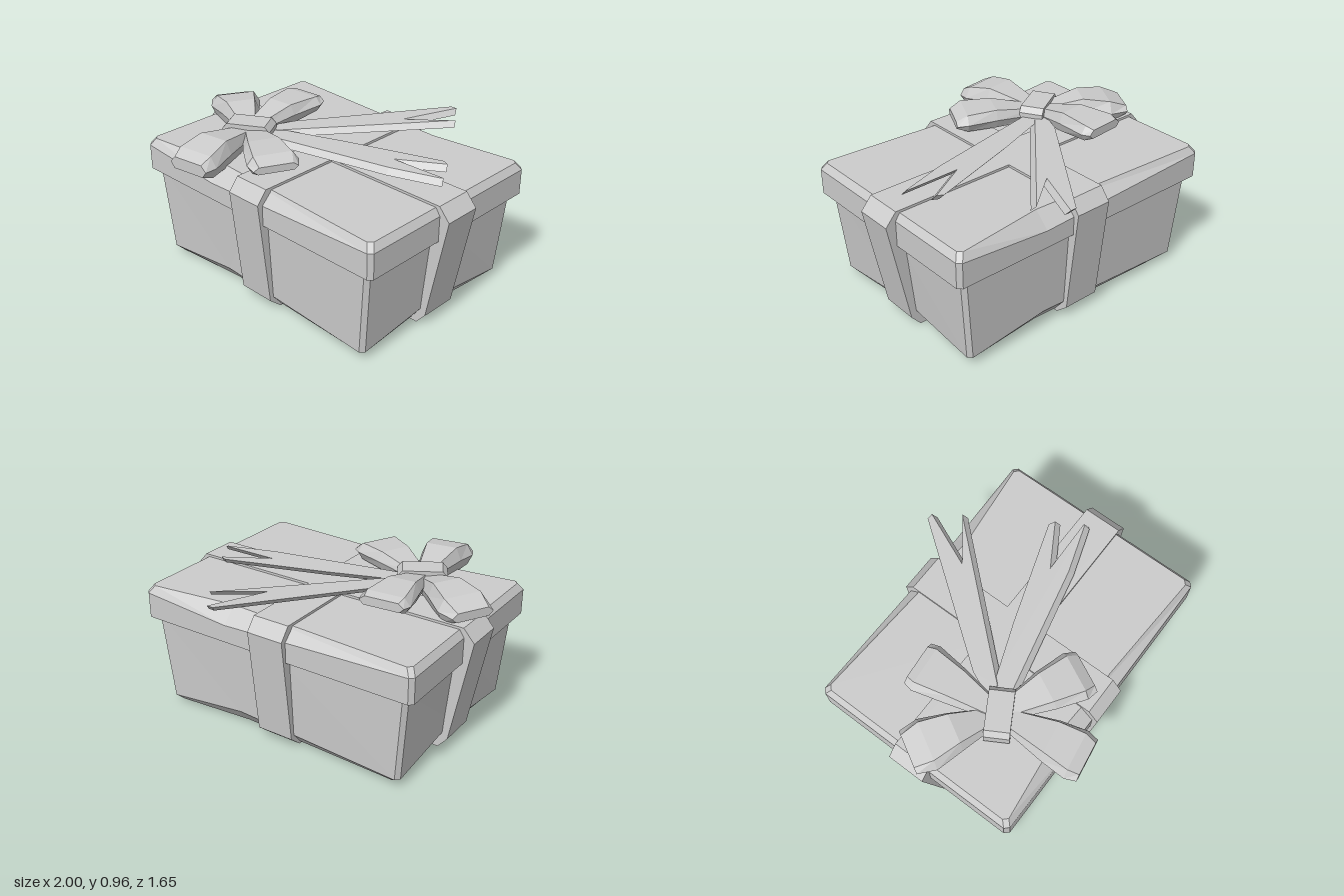
import * as THREE from 'three';

const material = new THREE.MeshStandardMaterial({ color: 0xcccccc, flatShading: true, side: THREE.DoubleSide });

function add(parent, name, geometry) {
  const mesh = new THREE.Mesh(geometry, material);
  mesh.name = name;
  parent.add(mesh);
  return mesh;
}

// Skin through rings of [x, y, z] points, closed with a fan at both ends
function loft(rings) {
  const pos = [];
  const n = rings[0].length;
  const tri = (a, b, c) => pos.push(...a, ...b, ...c);
  for (let k = 0; k < rings.length - 1; k++) {
    for (let i = 0; i < n; i++) {
      const j = (i + 1) % n;
      tri(rings[k][i], rings[k][j], rings[k + 1][i]);
      tri(rings[k][j], rings[k + 1][j], rings[k + 1][i]);
    }
  }
  const mean = (r) => [0, 1, 2].map((a) => r.reduce((s, p) => s + p[a], 0) / n);
  const first = rings[0], last = rings[rings.length - 1];
  for (let i = 0; i < n; i++) {
    const j = (i + 1) % n;
    tri(first[j], first[i], mean(first));
    tri(last[i], last[j], mean(last));
  }
  const g = new THREE.BufferGeometry();
  g.setAttribute('position', new THREE.Float32BufferAttribute(pos, 3));
  g.computeVertexNormals();
  return g;
}

// Rectangle with clipped corners; the mid points of its sides may be moved
function boxRing(hx, hz, y, { c = 0.025, mx = 0, dx = 0, dz = 0, dyx = 0, dyz = 0 } = {}) {
  const half = [
    [hx, y, hz - c], [hx - dx, y + dyx, 0], [hx, y, -hz + c],
    [hx - c, y, -hz], [-mx, y + dyz, -hz + dz], [-hx + c, y, -hz],
  ];
  return [...half, ...half.map(([x, yy, z]) => [-x, yy, -z])];
}

// Solid band that wraps the box, with cut corners
function ribbon(shoulder, top, low, bottom) {
  const right = [[bottom, 0], [low, 0.07], [shoulder, 0.74], [top, 0.82]];
  const left = right.map(([x, y]) => [-x, y]).reverse();
  const shape = new THREE.Shape([...right, ...left].map(([x, y]) => new THREE.Vector2(x, y)));
  return new THREE.ExtrudeGeometry(shape, { depth: 0.24, bevelEnabled: false }).translate(0, 0, -0.12);
}

// Puffy bow loop; sections are [distance, half width, bottom, top]
function bowLoop(cx, cz, dirX, dirZ, sections) {
  const len = Math.hypot(dirX, dirZ);
  const ux = dirX / len, uz = dirZ / len;
  return loft(sections.map(([d, w, lo, hi]) => {
    const mid = (lo + hi) / 2;
    return [[w, mid], [w * 0.75, hi], [-w * 0.75, hi], [-w, mid], [-w * 0.8, lo], [w * 0.8, lo]]
      .map(([r, y]) => [cx + ux * d + uz * r, y, cz + uz * d - ux * r]);
  }));
}

// Ribbon end with a notched tip; its lower face is shifted so the side slopes
function tail(outline, rise) {
  const shape = new THREE.Shape(outline.map(([x, z]) => new THREE.Vector2(x, -z)));
  const g = new THREE.ExtrudeGeometry(shape, { depth: 0.035, bevelEnabled: false });
  g.rotateX(-Math.PI / 2);
  const p = g.attributes.position;
  for (let i = 0; i < p.count; i++) {
    const x = p.getX(i), y = p.getY(i), z = p.getZ(i);
    const under = y < 0.01 ? 1 : 0;
    const d = Math.hypot(x + 0.45, z - 0.25);
    p.setXYZ(i, x + 0.015 * under, 0.835 + y + rise * d, z + 0.03 * under);
  }
  g.computeVertexNormals();
  return g;
}

export function createModel() {
  const group = new THREE.Group();

  // Tapered body with an uneven lower bevel
  add(group, 'boxBody', loft([
    boxRing(0.8, 0.58, 0.015, { mx: -0.28, dx: 0.04, dz: 0.04 }),
    boxRing(0.835, 0.615, 0.05, { mx: -0.28, dyx: 0.07, dyz: 0.06 }),
    boxRing(0.885, 0.64, 0.62),
  ]));

  // Lid whose front and back bevels dip near the middle
  add(group, 'lid', loft([
    boxRing(0.935, 0.675, 0.6, { mx: -0.32 }),
    boxRing(0.935, 0.675, 0.76, { mx: -0.32, dyz: -0.05 }),
    boxRing(0.905, 0.645, 0.805, { mx: -0.32, dz: 0.065 }),
  ]));

  // Crossed ribbons
  add(group, 'ribbonAcross', ribbon(1, 0.93, 0.87, 0.81));
  add(group, 'ribbonFrontToBack', ribbon(0.71, 0.645, 0.64, 0.56)).rotation.y = Math.PI / 2;

  // Bow
  const bow = new THREE.Group();
  bow.name = 'bow';
  group.add(bow);

  const profile = [[-0.1, 0.79], [0.1, 0.79], [0.15, 0.82], [0.15, 0.9], [0.12, 0.935], [-0.12, 0.935], [-0.15, 0.9], [-0.15, 0.82]];
  const knotShape = new THREE.Shape(profile.map(([x, y]) => new THREE.Vector2(x, y)));
  const knot = add(bow, 'bowKnot',
    new THREE.ExtrudeGeometry(knotShape, { depth: 0.15, bevelEnabled: false }).translate(0, 0, -0.075));
  knot.position.set(-0.45, 0, 0.255);
  knot.rotation.y = Math.PI / 6;

  const loops = {
    bowLoopRight: [-0.48, -0.27, [[0.05, 0.06, 0.82, 0.9], [0.27, 0.12, 0.8, 0.955], [0.44, 0.16, 0.795, 0.935], [0.555, 0.135, 0.835, 0.89]]],
    bowLoopBack: [-0.05, -0.54, [[0.05, 0.06, 0.83, 0.91], [0.28, 0.115, 0.84, 0.965], [0.49, 0.155, 0.865, 0.96], [0.545, 0.14, 0.89, 0.945]]],
    bowLoopFront: [0.085, 0.55, [[0.05, 0.06, 0.82, 0.9], [0.33, 0.13, 0.79, 0.95], [0.49, 0.155, 0.785, 0.92], [0.56, 0.135, 0.81, 0.885]]],
    bowLoopLeft: [0.505, 0.25, [[0.05, 0.06, 0.82, 0.9], [0.3, 0.125, 0.825, 0.94], [0.49, 0.155, 0.83, 0.935], [0.56, 0.135, 0.85, 0.895]]],
  };
  for (const [name, [dx, dz, sections]] of Object.entries(loops)) {
    add(bow, name, bowLoop(-0.45, 0.25, dx, dz, sections));
  }

  // Loose ribbon ends
  add(bow, 'bowTailBack', tail(
    [[-0.42, 0.16], [-0.34, -0.02], [0.26, -0.83], [0.3, -0.83], [0.15, -0.48], [0.41, -0.68], [0.39, -0.66], [-0.32, 0.14]], 0.026));
  add(bow, 'bowTailLeft', tail(
    [[-0.4, 0.16], [-0.3, 0.11], [0.05, -0.02], [0.68, -0.23], [0.72, -0.21], [0.45, -0.05], [0.81, -0.06], [0.8, -0.05], [0.5, 0.05], [-0.3, 0.23]], 0.008));

  return group;
}
